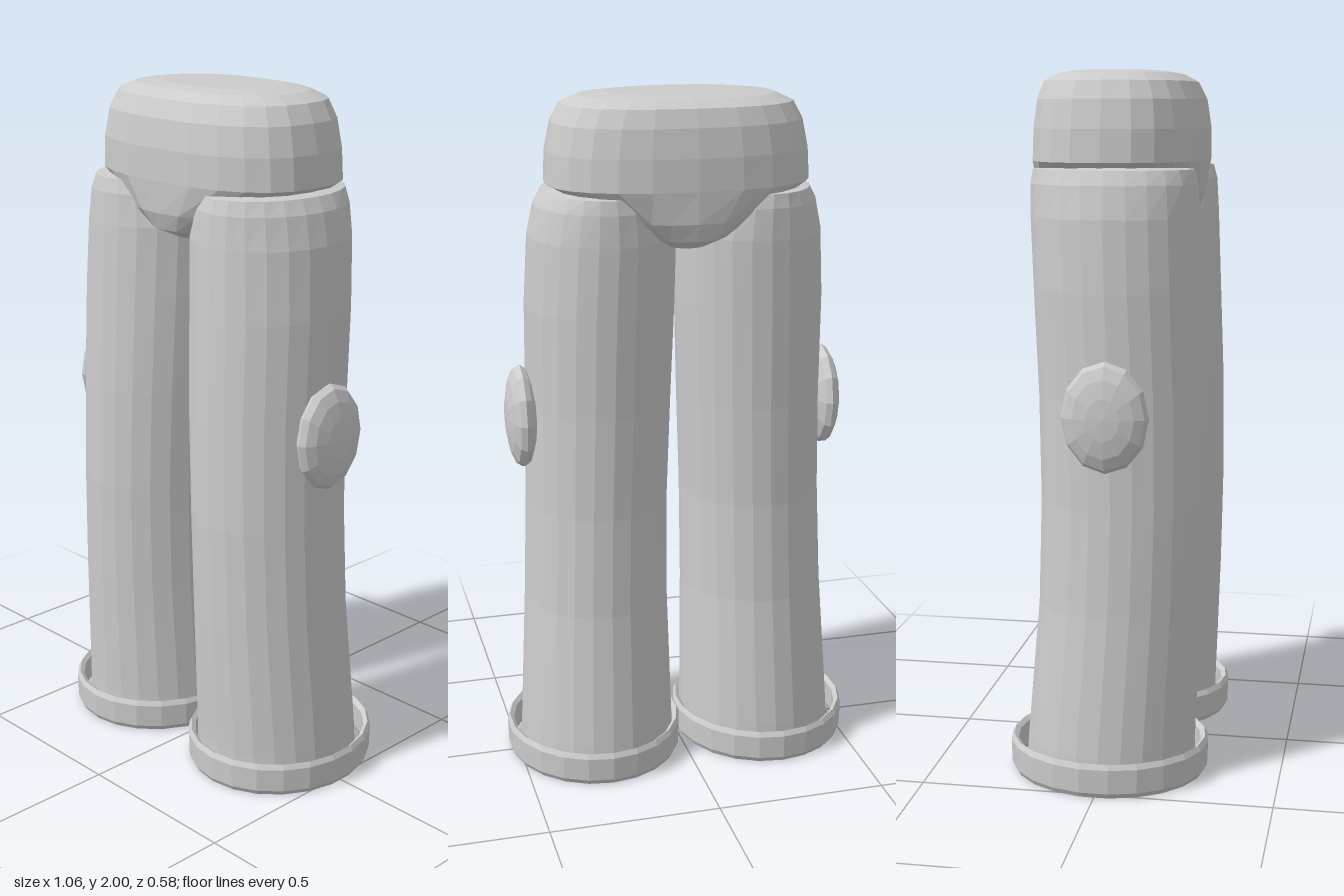
import * as THREE from 'three';

// Closed rings stacked upwards; each section is [y, xMin, xMax, zMin, zMax].
function loft(sections, sides, power, capBottom, capTop) {
  const pos = [], index = [];
  const bend = (v) => Math.sign(v) * Math.pow(Math.abs(v), 2 / power);
  for (const [y, x0, x1, z0, z1] of sections) {
    for (let j = 0; j < sides; j++) {
      const a = (j / sides) * Math.PI * 2;
      pos.push((x0 + x1) / 2 + bend(Math.cos(a)) * (x1 - x0) / 2, y,
        (z0 + z1) / 2 + bend(Math.sin(a)) * (z1 - z0) / 2);
    }
  }
  for (let i = 0; i < sections.length - 1; i++) {
    for (let j = 0; j < sides; j++) {
      const k = (j + 1) % sides;
      const a = i * sides + j, b = i * sides + k, c = a + sides, d = b + sides;
      index.push(a, c, b, b, c, d);
    }
  }
  const cap = (i, up) => {
    const [y, x0, x1, z0, z1] = sections[i];
    const centre = pos.length / 3;
    pos.push((x0 + x1) / 2, y, (z0 + z1) / 2);
    for (let j = 0; j < sides; j++) {
      const a = i * sides + j, b = i * sides + (j + 1) % sides;
      if (up) index.push(centre, b, a);
      else index.push(centre, a, b);
    }
  };
  if (capBottom) cap(0, false);
  if (capTop) cap(sections.length - 1, true);
  const g = new THREE.BufferGeometry();
  g.setAttribute('position', new THREE.Float32BufferAttribute(pos, 3));
  g.setIndex(index);
  g.computeVertexNormals();
  return g;
}

export function createModel() {
  const group = new THREE.Group();
  const cloth = new THREE.MeshStandardMaterial({ color: 0xcccccc });
  cloth.name = 'lightGrey';
  cloth.flatShading = true;
  cloth.side = THREE.DoubleSide;

  const add = (name, geometry, parent = group) => {
    const mesh = new THREE.Mesh(geometry, cloth);
    mesh.name = name;
    parent.add(mesh);
    return mesh;
  };

  // Rounded hip block, tapering to the crotch
  add('hips', loft([
    [1.58, -0.07, 0.07, -0.17, 0.15],
    [1.61, -0.13, 0.13, -0.235, 0.215],
    [1.66, -0.22, 0.22, -0.25, 0.235],
    [1.75, -0.38, 0.38, -0.253, 0.242],
    [1.84, -0.375, 0.375, -0.25, 0.242],
    [1.92, -0.358, 0.358, -0.24, 0.23],
    [1.97, -0.33, 0.33, -0.222, 0.205],
    [1.992, -0.28, 0.28, -0.18, 0.165],
    [2.0, -0.2, 0.2, -0.14, 0.12],
  ], 24, 2.5, true, true));

  // Leg tube for the left side: open at the hem, domed under the hips
  const legSections = [
    [0.02, 0.021, 0.489, -0.245, 0.25],
    [0.1, 0.022, 0.486, -0.24, 0.25],
    [0.5, 0.03, 0.462, -0.207, 0.264],
    [0.8, 0.028, 0.45, -0.2, 0.27],
    [1.1, 0.018, 0.444, -0.206, 0.267],
    [1.4, 0.008, 0.442, -0.22, 0.256],
    [1.6, 0.005, 0.43, -0.229, 0.249],
    [1.69, 0.03, 0.41, -0.229, 0.243],
    [1.73, 0.06, 0.388, -0.222, 0.232],
    [1.738, 0.12, 0.34, -0.15, 0.16],
  ];
  const cuffProfile = [
    [0.245, 0.02], [0.256, 0], [0.264, 0.015], [0.266, 0.085],
    [0.258, 0.1], [0.246, 0.09], [0.245, 0.02],
  ].map(([r, y]) => new THREE.Vector2(r, y));

  for (const [side, s] of [['left', 1], ['right', -1]]) {
    const leg = new THREE.Group();
    leg.name = side + 'Leg';
    group.add(leg);

    const sections = legSections.map(([y, x0, x1, z0, z1]) =>
      s > 0 ? [y, x0, x1, z0, z1] : [y, -x1, -x0, z0, z1]);
    add(side + 'LegTube', loft(sections, 24, 2, false, true), leg);

    // Loose ring around the hem
    const cuff = add(side + 'Cuff', new THREE.LatheGeometry(cuffProfile, 22), leg);
    cuff.position.x = s * 0.265;
    cuff.scale.z = 1.09;

    // Flattened oval pad on the outside of the knee
    const pad = add(side + 'KneePad', new THREE.SphereGeometry(1, 12, 8), leg);
    pad.geometry.rotateZ(Math.PI / 2);
    pad.scale.set(0.045, 0.155, 0.122);
    pad.position.set(s * 0.462, 1.07, 0.023);
  }
  return group;
}
